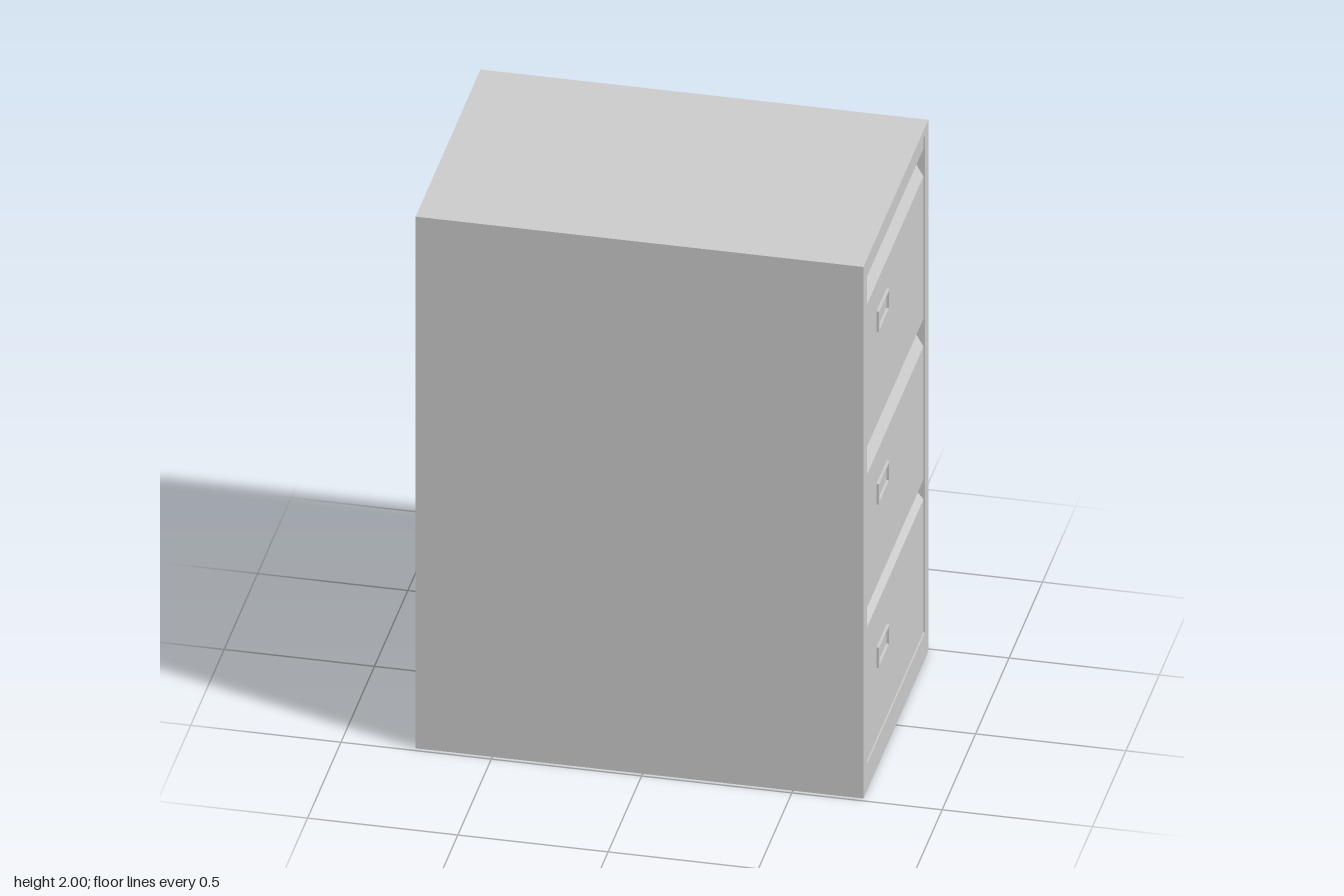
import * as THREE from 'three';

const mat = new THREE.MeshStandardMaterial({ color: 0xcccccc, flatShading: true });

// Rectangle path centred on cx, cy
function rect(PathType, w, h, cx, cy) {
  const x0 = cx - w / 2, x1 = cx + w / 2, y0 = cy - h / 2, y1 = cy + h / 2;
  return new PathType([[x0, y0], [x1, y0], [x1, y1], [x0, y1]].map(p => new THREE.Vector2(...p)));
}

// Hollow rectangular frame facing +x; z and y give its centre
function sideFrame(name, outer, inner, x0, depth, z) {
  const shape = rect(THREE.Shape, ...outer);
  shape.holes.push(rect(THREE.Path, ...inner));
  const geo = new THREE.ExtrudeGeometry(shape, { depth, bevelEnabled: false });
  geo.rotateY(Math.PI / 2);
  const mesh = new THREE.Mesh(geo, mat);
  mesh.name = name;
  mesh.position.set(x0, 0, z);
  return mesh;
}

export function createModel() {
  const group = new THREE.Group();
  group.name = 'filingCabinet';
  const back = -0.755, seam = 0.65, front = 0.735, face = 0.73, scoop = 0.06;

  // Solid casing behind the drawer fronts
  const casing = new THREE.Mesh(new THREE.BoxGeometry(seam - back, 2, 0.97), mat);
  casing.name = 'casing';
  casing.position.set((seam + back) / 2, 1, 0);
  group.add(casing);

  // Rim around the drawer opening
  group.add(sideFrame('frontRim', [0.97, 2, 0, 1], [0.87, 1.87, 0, 1.035], seam, front - seam, 0));

  // Drawer fronts: one profile with a sloping finger scoop per drawer,
  // leaving a thin gap at the top and at one side
  const scoops = [[0.6, 0.675], [1.175, 1.28], [1.815, 1.92]];
  const profile = new THREE.Shape();
  profile.moveTo(seam, 0.1);
  profile.lineTo(face, 0.1);
  for (const [low, high] of scoops) {
    profile.lineTo(face, low);
    profile.lineTo(face - scoop, high);
    profile.lineTo(face, high);
  }
  profile.lineTo(face, 1.96);
  profile.lineTo(seam, 1.96);
  profile.closePath();
  const drawers = new THREE.Mesh(
    new THREE.ExtrudeGeometry(profile, { depth: 0.864, bevelEnabled: false }), mat);
  drawers.name = 'drawerFronts';
  drawers.position.z = -0.435;
  group.add(drawers);

  // Label holders standing just off each drawer front
  for (const y of [0.45, 1.065, 1.713]) {
    group.add(sideFrame('labelHolder', [0.154, 0.077, 0, y], [0.14, 0.063, 0, y], 0.746, 0.009, 0.264));
  }
  return group;
}
